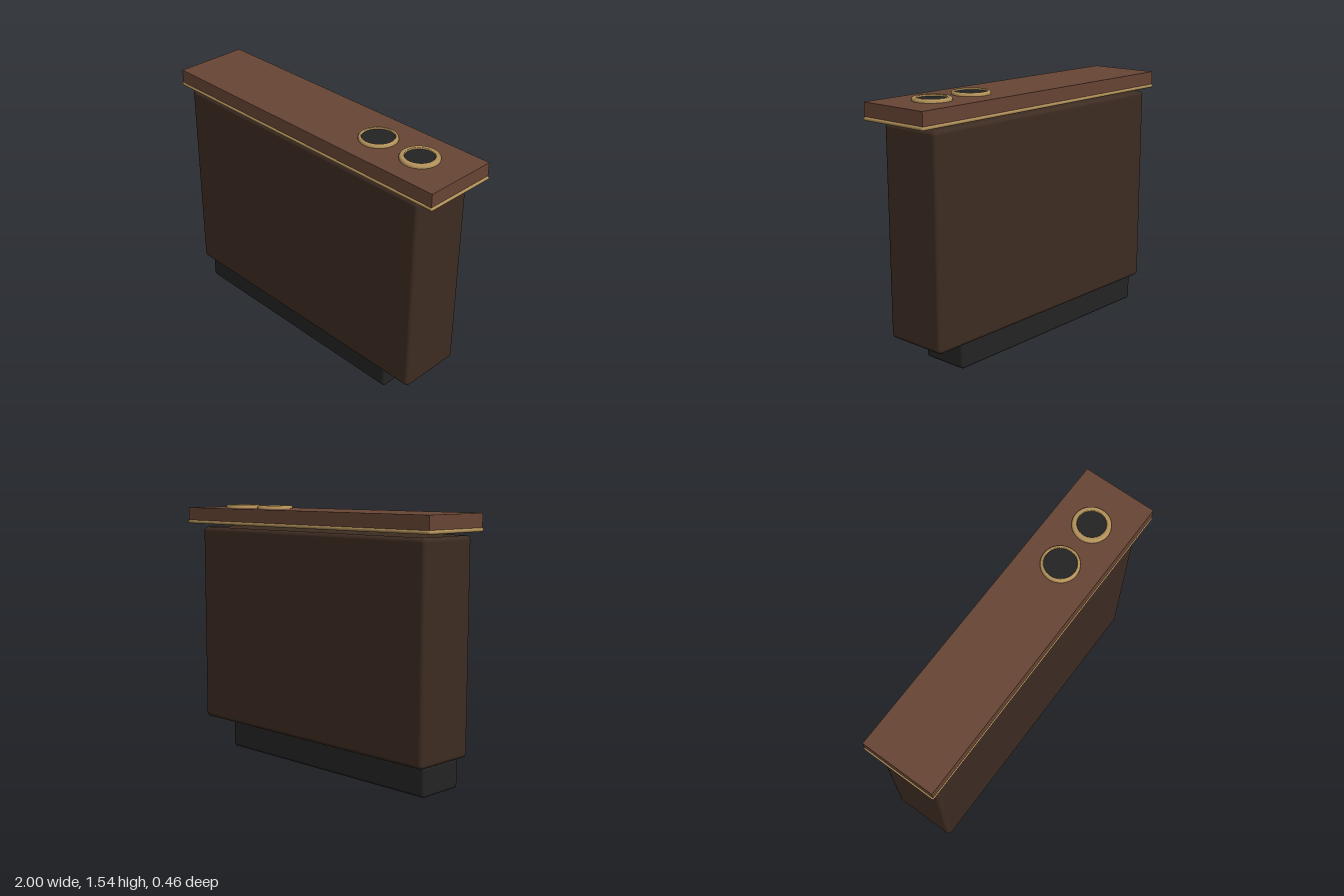
import * as THREE from 'three';
import { RoundedBoxGeometry } from 'three/addons/geometries/RoundedBoxGeometry.js';

const material = (name, color) => {
  const m = new THREE.MeshStandardMaterial({ color });
  m.name = name;
  return m;
};

export function createModel() {
  const group = new THREE.Group();
  const panelBrown = material('dark brown panel', 0x3d2c22);
  const woodBrown = material('warm wood', 0x684535);
  const brass = material('brass', 0xb3925a);
  const black = material('soft black', 0x242424);

  const add = (name, geometry, mat, x, y, z = 0) => {
    const mesh = new THREE.Mesh(geometry, mat);
    mesh.name = name;
    mesh.position.set(x, y, z);
    group.add(mesh);
    return mesh;
  };

  // Recessed plinth and upholstered counter body, both softly rounded
  add('plinth', new RoundedBoxGeometry(1.585, 0.175, 0.295, 3, 0.02), black, -0.127, 0.0875);
  add('body', new RoundedBoxGeometry(1.83, 1.23, 0.395, 3, 0.025), panelBrown, -0.03, 0.785);

  // Brass edge strip under the wooden top
  add('edgeTrim', new RoundedBoxGeometry(2, 0.022, 0.456, 3, 0.01), brass, 0, 1.431);
  add('counterTop', new THREE.BoxGeometry(1.986, 0.082, 0.446), woodBrown, 0, 1.479);

  // Two cup holders: rounded brass ring around a dark well
  for (const [x, inner] of [[0.42, 0.092], [0.715, 0.082]]) {
    const profile = [
      [0.11, 0], [0.11, 0.009], [0.106, 0.016], [0.1, 0.019],
      [inner + 0.003, 0.019], [inner, 0.016], [inner, 0],
    ].map(([r, y]) => new THREE.Vector2(r, y));
    add('cupRing', new THREE.LatheGeometry(profile, 40), brass, x, 1.52);
    add('cupWell', new THREE.CylinderGeometry(inner, inner, 0.008, 40), black, x, 1.525);
  }
  return group;
}
